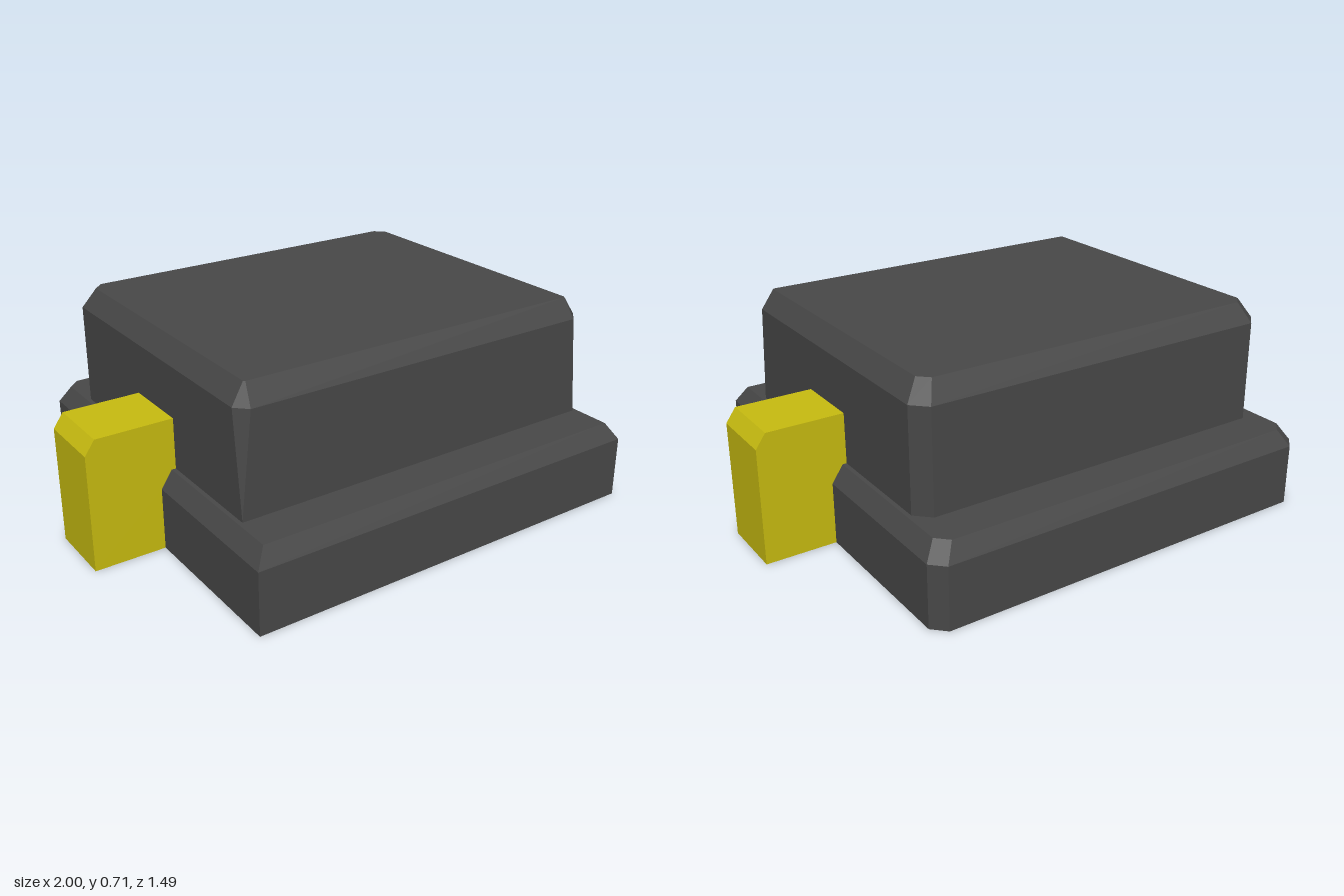
import * as THREE from 'three';

const LEAD_Z = [-0.095, 0.15]; // back and front edge of each lead

const material = (color) => new THREE.MeshStandardMaterial({ color, flatShading: true, side: THREE.DoubleSide });

// Builds a flat-faced mesh from quads and triangles given as corner lists
function meshFromFaces(name, faces, mat) {
  const pos = [];
  for (const f of faces) {
    for (let i = 1; i < f.length - 1; i++) pos.push(...f[0], ...f[i], ...f[i + 1]);
  }
  const g = new THREE.BufferGeometry();
  g.setAttribute('position', new THREE.Float32BufferAttribute(pos, 3));
  g.computeVertexNormals();
  const mesh = new THREE.Mesh(g, mat);
  mesh.name = name;
  return mesh;
}

// Horizontal ring: half width, half depth, cut of back corners, cut of front corners.
// Extra points on both sides mark the lead openings.
function ring(y, w, d, back, front) {
  const right = [[w - front, d], [w, d - front], [w, LEAD_Z[1]], [w, LEAD_Z[0]], [w, -d + back], [w - back, -d]];
  const left = right.map(([x, z]) => [-x, z]).reverse();
  return [...right, ...left].map(([x, z]) => [x, y, z]);
}

// Hollow stepped housing, open below and towards the leads
function makeHousing(mat) {
  const rings = [
    ring(0, 0.75, 0.745, 0.045, 0),
    ring(0.22, 0.75, 0.745, 0.045, 0),
    ring(0.28, 0.71, 0.71, 0.04, 0),
    ring(0.28, 0.695, 0.57, 0.05, 0),
    ring(0.46, 0.695, 0.57, 0.05, 0.02),
    ring(0.64, 0.695, 0.57, 0.05, 0.04),
    ring(0.71, 0.65, 0.527, 0.035, 0.005),
  ];
  const faces = [];
  const n = rings[0].length;
  for (let r = 0; r < rings.length - 1; r++) {
    for (let i = 0; i < n; i++) {
      if (r < 4 && (i === 2 || i === 8)) continue; // lead openings
      const j = (i + 1) % n;
      faces.push([rings[r][i], rings[r][j], rings[r + 1][j], rings[r + 1][i]]);
    }
  }
  faces.push(rings[rings.length - 1]);
  return meshFromFaces('housing', faces, mat);
}

// Hollow lead cover: bevelled outer skin and two cheeks following the housing step
function makeLead(name, side, mat) {
  const outline = [
    [0.695, 0.46], [0.965, 0.46], [1, 0.41], [1, 0],
    [0.75, 0], [0.75, 0.22], [0.71, 0.28], [0.695, 0.28],
  ];
  const at = ([x, y], z) => [side * x, y, z];
  const [zb, zf] = LEAD_Z;
  const faces = [];
  for (let i = 0; i < 3; i++) {
    const a = outline[i], b = outline[i + 1];
    faces.push([at(a, zb), at(a, zf), at(b, zf), at(b, zb)]);
  }
  const tris = THREE.ShapeUtils.triangulateShape(outline.map((p) => new THREE.Vector2(...p)), []);
  for (const t of tris) {
    faces.push(t.map((i) => at(outline[i], zf)));
    faces.push(t.map((i) => at(outline[i], zb)).reverse());
  }
  // Mirrored side needs the opposite winding
  return meshFromFaces(name, side > 0 ? faces : faces.map((f) => f.reverse()), mat);
}

export function createModel() {
  const group = new THREE.Group();
  group.name = 'surfaceMountComponent';
  const dark = material(0x484848);
  const yellow = material(0xc8bc10);
  group.add(makeHousing(dark), makeLead('leftLead', 1, yellow), makeLead('rightLead', -1, yellow));
  return group;
}
